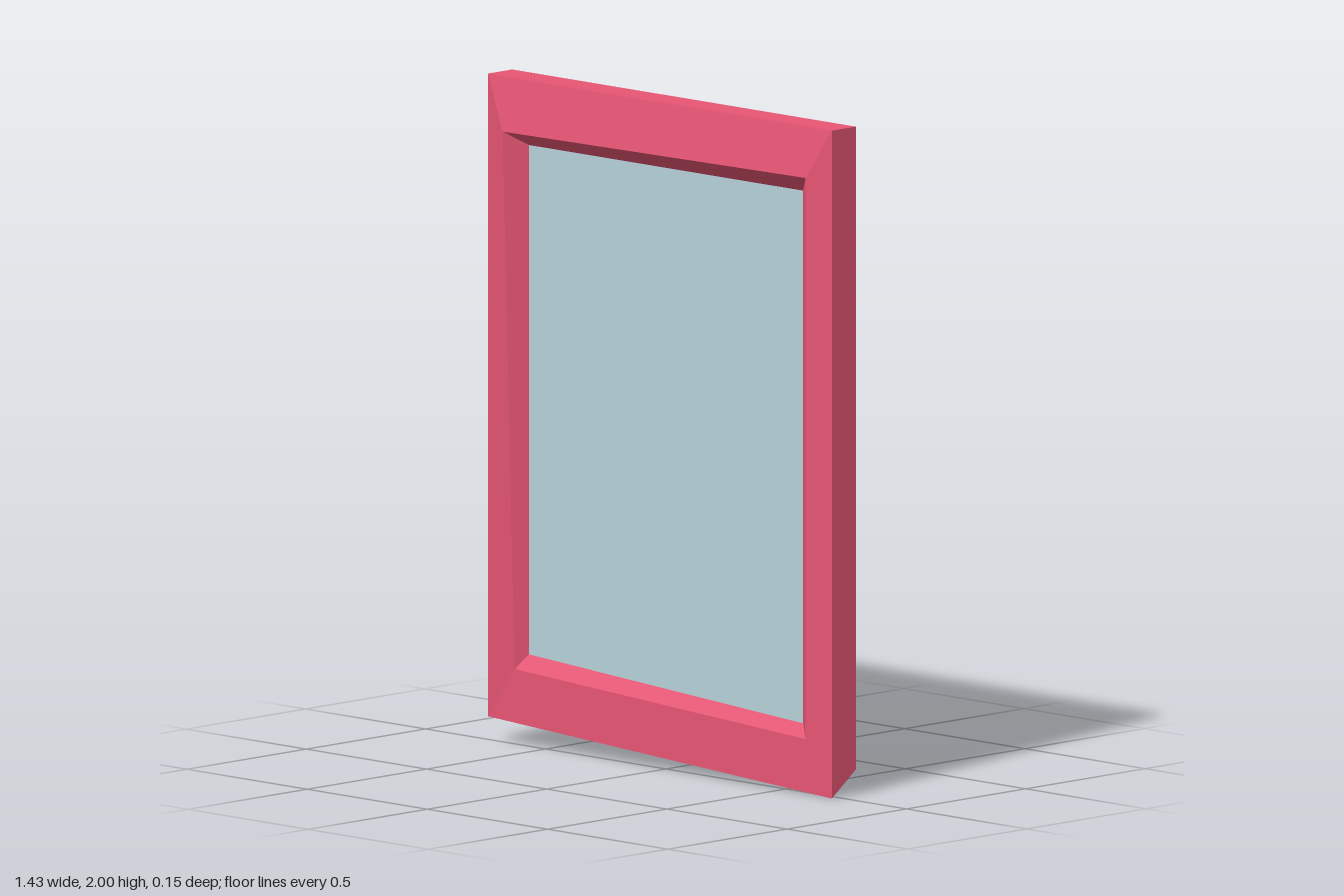
import * as THREE from 'three';

// Corners of each ring run top -x, bottom -x, bottom +x, top +x
const backRing = [[-0.715, 2, -0.075], [-0.715, 0.075, -0.075], [0.715, 0.075, -0.075], [0.715, 2, -0.075]];
const outerRing = [[-0.715, 2, 0.025], [-0.715, 0.075, 0.025], [0.715, 0, 0.025], [0.715, 2, 0.025]];
const rimRing = [[-0.605, 1.845, 0.075], [-0.605, 0.23, 0.025], [0.605, 0.165, 0.025], [0.605, 1.845, 0.025]];
const paneRing = [[-0.57, 1.8, 0], [-0.57, 0.275, 0], [0.57, 0.205, 0], [0.57, 1.8, 0]];

// Builds quads [a, b, c, d], each with one shared normal and split along a-c
function quadGeometry(quads) {
  const positions = [];
  const normals = [];
  for (const quad of quads) {
    const [a, b, c, d] = quad.map((p) => new THREE.Vector3(...p));
    const normal = c.clone().sub(a).cross(d.clone().sub(b)).normalize();
    for (const p of [a, b, c, a, c, d]) {
      positions.push(p.x, p.y, p.z);
      normals.push(normal.x, normal.y, normal.z);
    }
  }
  const geometry = new THREE.BufferGeometry();
  geometry.setAttribute('position', new THREE.Float32BufferAttribute(positions, 3));
  geometry.setAttribute('normal', new THREE.Float32BufferAttribute(normals, 3));
  return geometry;
}

// Four quads joining one ring to the next; the first is split the other way
function bridge(from, to) {
  return from.map((p, i) => {
    const j = (i + 1) % 4;
    return i === 0 ? [from[j], to[j], to[i], p] : [p, from[j], to[j], to[i]];
  });
}

function addMesh(group, name, quads, color) {
  const material = new THREE.MeshStandardMaterial({ color });
  const mesh = new THREE.Mesh(quadGeometry(quads), material);
  mesh.name = name;
  group.add(mesh);
}

export function createModel() {
  const group = new THREE.Group();
  group.name = 'framedWindow';

  // Frame: back panel, outer sides, front border and recessed inner walls
  addMesh(group, 'frame', [
    [...backRing].reverse(),
    ...bridge(backRing, outerRing),
    ...bridge(outerRing, rimRing),
    ...bridge(rimRing, paneRing),
  ], 0xe85674);

  // Glass pane at the bottom of the recess
  addMesh(group, 'glassPane', [paneRing], 0xb8d2da);

  return group;
}
